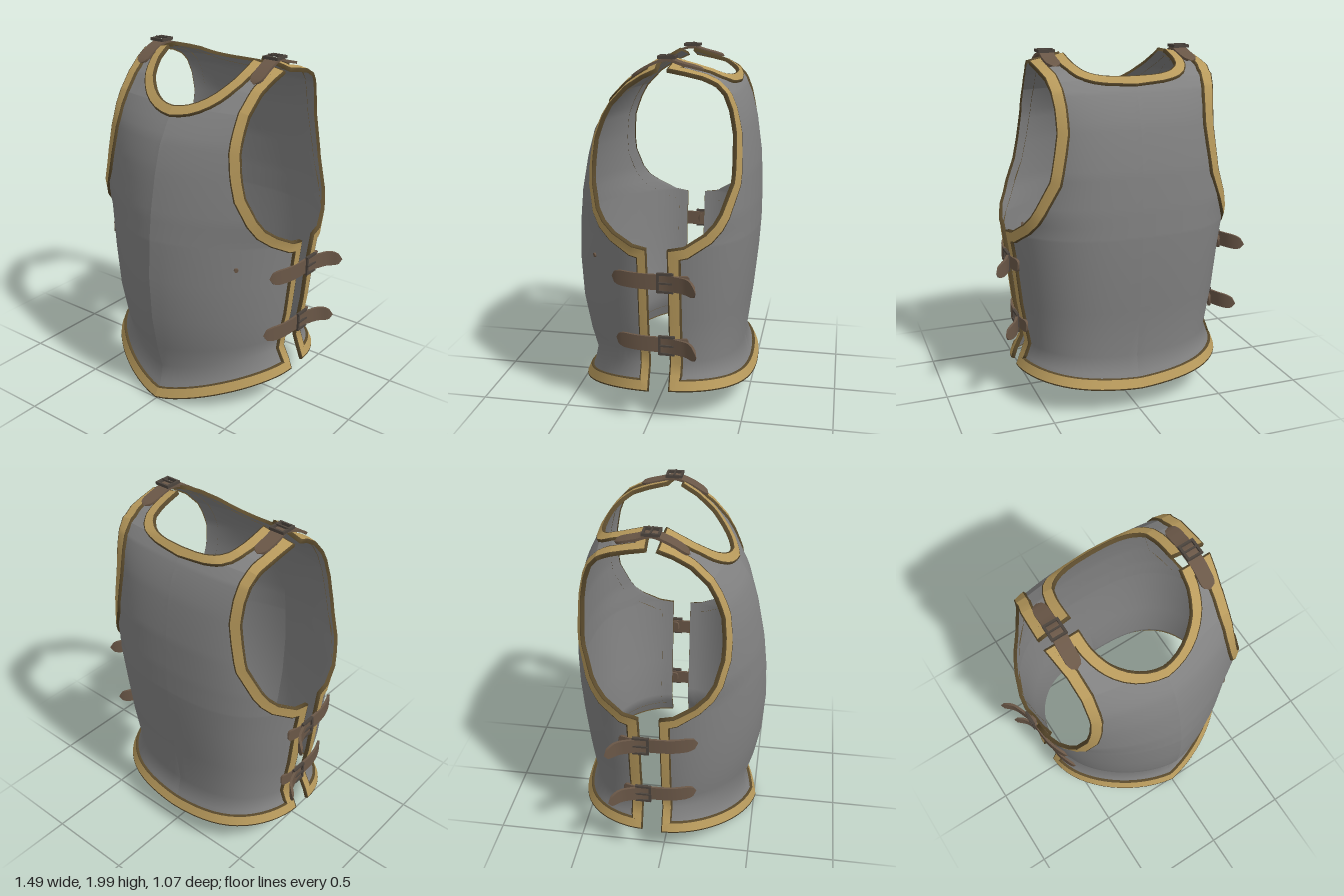
import * as THREE from 'three';
import { toCreasedNormals } from 'three/addons/utils/BufferGeometryUtils.js';

const V = (x, y, z) => new THREE.Vector3(x, y, z);
const RAD = Math.PI / 180;

// Each key: height, centre depth, half width, depth of the side edge, rise towards the side
const FRONT = {
  keys: [[0.01, .50, .60, 0, .18], [.1, .46, .58, 0, .15], [.2, .44, .54, 0, .13], [.34, .48, .55, 0, .07],
    [.55, .52, .58, 0, .02], [.8, .535, .605, 0, 0], [1.02, .525, .632, 0, 0], [1.2, .505, .69, 0, 0],
    [1.4, .465, .71, 0, 0], [1.55, .42, .735, 0, 0], [1.66, .355, .77, 0, 0], [1.73, .3, .79, 0, 0],
    [1.84, .2, .79, -.03, -.04], [1.93, .1, .79, -.08, -.1], [2.0, 0, .79, -.1, -.16]],
  arm: [[0, 90], [1.02, 90], [1.035, 80], [1.09, 66], [1.14, 57], [1.2, 51], [1.32, 43.5], [1.45, 39.5],
    [1.6, 36], [1.73, 34], [1.86, 35], [2.0, 37.5]],
  neck: 1.73, neckPower: 2, ridge: .08, ridgePower: 1,
};
const BACK = {
  keys: [[.14, .525, .60, .11, .06], [.22, .485, .57, .11, .06], [.32, .46, .545, .11, .03], [.6, .495, .585, .11, 0],
    [.85, .52, .61, .11, 0], [1.02, .53, .635, .11, 0], [1.2, .53, .65, .11, 0], [1.4, .52, .65, .11, 0],
    [1.6, .49, .66, .11, 0], [1.72, .455, .70, .11, 0], [1.8, .415, .74, .11, 0], [1.86, .37, .78, .09, -.03],
    [1.92, .29, .8, .06, -.08], [1.96, .2, .8, .03, -.12], [2.0, .09, .8, 0, -.16]],
  arm: [[0, 90], [1.02, 90], [1.035, 79], [1.1, 66], [1.15, 60], [1.2, 56], [1.35, 47], [1.5, 43.4],
    [1.65, 40.3], [1.78, 38], [1.88, 36], [2.0, 37]],
  neck: 1.86, neckPower: 3, ridge: -.07, ridgePower: 2,
};

// Linear lookup in a table sorted by its first column
function lookup(table, v) {
  let i = 0;
  while (i < table.length - 2 && v > table[i + 1][0]) i++;
  const f = (v - table[i][0]) / (table[i + 1][0] - table[i][0]);
  return table[i].map((a, k) => a + (table[i + 1][k] - a) * f);
}

// Point on a plate at angle a from its centre line and height v
function point(p, a, v) {
  const [, c, w, side, rise] = lookup(p.keys, v);
  const s = Math.abs(Math.sin(a));
  const bulge = Math.cos(a) - p.ridge * Math.abs(Math.sin(2 * a)) ** p.ridgePower;
  return V(w * Math.sin(a), v + rise * s ** 1.3, side + (c - side) * bulge);
}

// Surface directions and outward normal
function frame(p, a, v) {
  const e = 1e-3;
  const sa = point(p, a + e, v).sub(point(p, a - e, v)).divideScalar(2 * e);
  const sv = point(p, a, v + e).sub(point(p, a, v - e)).divideScalar(2 * e);
  return { sa, sv, n: sa.clone().cross(sv).normalize() };
}
function raised(p, a, v, h) {
  return point(p, a, v).addScaledVector(frame(p, a, v).n, h);
}

const armAngle = (p, v) => lookup(p.arm, v)[1] * RAD;
function neckAngle(p, v) {
  if (v <= p.neck) return 0;
  const q = Math.max(0, 1 - (v - p.neck) / (2 - p.neck));
  return Math.asin(.29 * (1 - q ** p.neckPower) ** (1 / p.neckPower) / lookup(p.keys, v)[2]);
}
function levels(p) {
  const all = [...p.keys.map(k => k[0]), ...p.arm.slice(1).map(k => k[0])];
  for (let k = 0; k < 9; k++) all.push(p.neck + (2 - p.neck) * (k / 9) ** 2);
  all.sort((x, y) => x - y);
  return all.filter((v, i) => i === 0 || v - all[i - 1] > 1e-6);
}

// Skin over rows of points
function sheet(rows) {
  const n = rows[0].length, index = [];
  for (let r = 0; r < rows.length - 1; r++) for (let c = 0; c < n - 1; c++) {
    const a = r * n + c;
    index.push(a, a + 1, a + n + 1, a, a + n + 1, a + n);
  }
  const g = new THREE.BufferGeometry().setFromPoints(rows.flat());
  g.setIndex(index);
  g.computeVertexNormals();
  return g;
}
const mirror = rows => rows.map(r => r.map(q => V(-q.x, q.y, q.z)).reverse());

// Layers of the raised border, from the plate's rim inwards
function borderLayers(p, vs) {
  const rim = [], low = vs[0];
  for (let i = 0; i < 16; i++) rim.push([Math.PI / 2 * i / 16, low]);
  vs.forEach(v => rim.push([armAngle(p, v), v]));
  for (let i = 1; i < 4; i++) rim.push([THREE.MathUtils.lerp(armAngle(p, 2), neckAngle(p, 2), i / 4), 2]);
  vs.filter(v => v >= p.neck).reverse().forEach(v => rim.push([neckAngle(p, v), v]));
  const pts = rim.map(([a, v]) => point(p, a, v));
  const flip = q => V(-q.x, q.y, q.z);
  const steps = rim.map(([a, v], i) => {
    const { sa, sv, n } = frame(p, a, v);
    const before = i ? pts[i - 1] : flip(pts[1]);
    const after = i < pts.length - 1 ? pts[i + 1] : flip(pts[i - 1]);
    const n1 = n.clone().cross(pts[i].clone().sub(before)).normalize();
    const n2 = n.clone().cross(after.clone().sub(pts[i])).normalize();
    const d = n1.clone().add(n2).normalize();
    d.divideScalar(Math.max(.62, d.dot(n1)));
    const A = sa.dot(sa), B = sa.dot(sv), C = sv.dot(sv), e = d.dot(sa), f = d.dot(sv), det = A * C - B * B;
    return [(e * C - f * B) / det, (f * A - e * B) / det, n];
  });
  const profile = [[0, -.008], [0, .012], [.007, .014], [.032, .014], [.058, .014], [.065, .012], [.067, -.002]];
  return profile.map(([d, h]) => rim.map(([a, v], i) => {
    const [da, dv, n] = steps[i];
    return point(p, a + da * d, v + dv * d).addScaledVector(n, h);
  }));
}

// Leather band with rounded ends along a path
function strapRows(path, across, width) {
  const curve = new THREE.CatmullRomCurve3(path), rows = [], N = 24;
  for (let i = 0; i <= N; i++) {
    const u = i / N, p = curve.getPointAt(u), t = curve.getTangentAt(u);
    const n = t.clone().cross(across).normalize();
    const end = Math.min(1, Math.min(u, 1 - u) * 7);
    const hw = width / 2 * Math.sqrt(1 - (1 - end) ** 2), ht = end > 0 ? .007 : 0;
    rows.push([[1, -1], [1, 1], [-1, 1], [-1, -1], [1, -1]].map(([a, b]) =>
      p.clone().addScaledVector(across, a * hw).addScaledVector(n, b * ht)));
  }
  return rows;
}

export function createModel() {
  const mat = (name, color, side = THREE.FrontSide) =>
    Object.assign(new THREE.MeshStandardMaterial({ color, side }), { name });
  const steel = mat('steel', 0x828282, THREE.DoubleSide);
  const gold = mat('gold', 0xb89a5c);
  const dark = mat('darkEdge', 0x5a4a2c, THREE.DoubleSide);
  const leather = mat('leather', 0x6a5747);
  const iron = mat('iron', 0x4c443d);

  const model = new THREE.Group();
  model.name = 'cuirass';
  const add = (parent, name, geometry, material) => {
    const m = new THREE.Mesh(geometry, material);
    m.name = name;
    parent.add(m);
    return m;
  };

  // Chest and back plates, each with a raised border
  for (const [name, p] of [['chestPlate', FRONT], ['backPlate', BACK]]) {
    const g = new THREE.Group();
    g.name = name;
    if (p === BACK) g.rotation.y = Math.PI;
    model.add(g);
    const vs = levels(p);
    const skin = vs.map(v => Array.from({ length: 17 }, (_, i) =>
      point(p, THREE.MathUtils.lerp(neckAngle(p, v), armAngle(p, v), i / 16), v)));
    const border = borderLayers(p, vs);
    for (const [side, f] of [['left', r => r], ['right', mirror]]) {
      add(g, side + 'Shell', sheet(f(skin)), steel);
      add(g, side + 'RimEdge', sheet(f(border.slice(0, 3))), dark);
      add(g, side + 'Border', sheet(f(border.slice(2, 5))), gold);
      add(g, side + 'InnerEdge', sheet(f(border.slice(4))), dark);
    }
  }

  // Square buckle frame with a prong
  const outline = new THREE.Shape([[-.045, -.055], [.045, -.055], [.045, .055], [-.045, .055]].map(q => new THREE.Vector2(...q)));
  outline.holes.push(new THREE.Path([[-.032, -.042], [-.032, .042], [.032, .042], [.032, -.042]].map(q => new THREE.Vector2(...q))));
  const frameGeo = new THREE.ExtrudeGeometry(outline, { depth: .016, bevelEnabled: false });
  const prongGeo = new THREE.BoxGeometry(.085, .01, .01).translate(0, 0, .015);
  const buckle = (x, y, z, rx, ry) => {
    const b = new THREE.Group();
    b.name = 'buckle';
    add(b, 'buckleFrame', frameGeo, iron);
    add(b, 'bucklePin', prongGeo, iron);
    b.position.set(x, y, z);
    b.rotation.set(rx, ry, 0);
    model.add(b);
    return b;
  };
  const strap = (name, path, across, width) => {
    const rows = strapRows(path, across, width);
    add(model, 'left' + name, toCreasedNormals(sheet(rows), .7), leather);
    add(model, 'right' + name, toCreasedNormals(sheet(mirror(rows)), .7), leather);
  };
  const turned = q => V(q.x, q.y, -q.z);

  // Side straps with loose tails
  for (const [y, reach] of [[.84, .745], [.47, .705]]) {
    const w = lookup(FRONT.keys, y)[2];
    const on = a => raised(FRONT, a * RAD, y, .022).setY(y);
    strap('SideStrap', [on(65), on(72), on(80), on(89), V(w + .026, y, -.1), V(w + .045, y, -.16),
      V(w + .075, y, -.225), V(reach, y - .01, -.28)], V(0, 1, 0), .085);
    const tag = a => turned(raised(BACK, a * RAD, y, .018)).setY(y);
    strap('BuckleTab', [V(w + .01, y, -.07), tag(89), tag(82), tag(75)], V(0, 1, 0), .07);
    for (const m of [1, -1]) buckle(m * (w + .025), y, -.1, 0, m * Math.PI / 2);
  }

  // Shoulder straps
  const over = (p, v) => raised(p, Math.asin(.385 / lookup(p.keys, v)[2]), v, .022);
  strap('ShoulderStrap', [over(FRONT, 1.88), over(FRONT, 1.93), over(FRONT, 1.98), V(.385, 1.967, -.065),
    turned(over(BACK, 1.98)), turned(over(BACK, 1.955)), turned(over(BACK, 1.93))], V(1, 0, 0), .078);
  for (const m of [1, -1]) buckle(m * .39, 1.972, -.065, -Math.PI / 2, 0).scale.set(1, .85, 1);

  // Small stud on the chest
  const a = 45.5 * RAD, stud = add(model, 'stud', new THREE.CylinderGeometry(.012, .014, .01, 8), leather);
  stud.position.copy(raised(FRONT, a, .905, .003));
  stud.quaternion.setFromUnitVectors(V(0, 1, 0), frame(FRONT, a, .905).n);
  return model;
}
